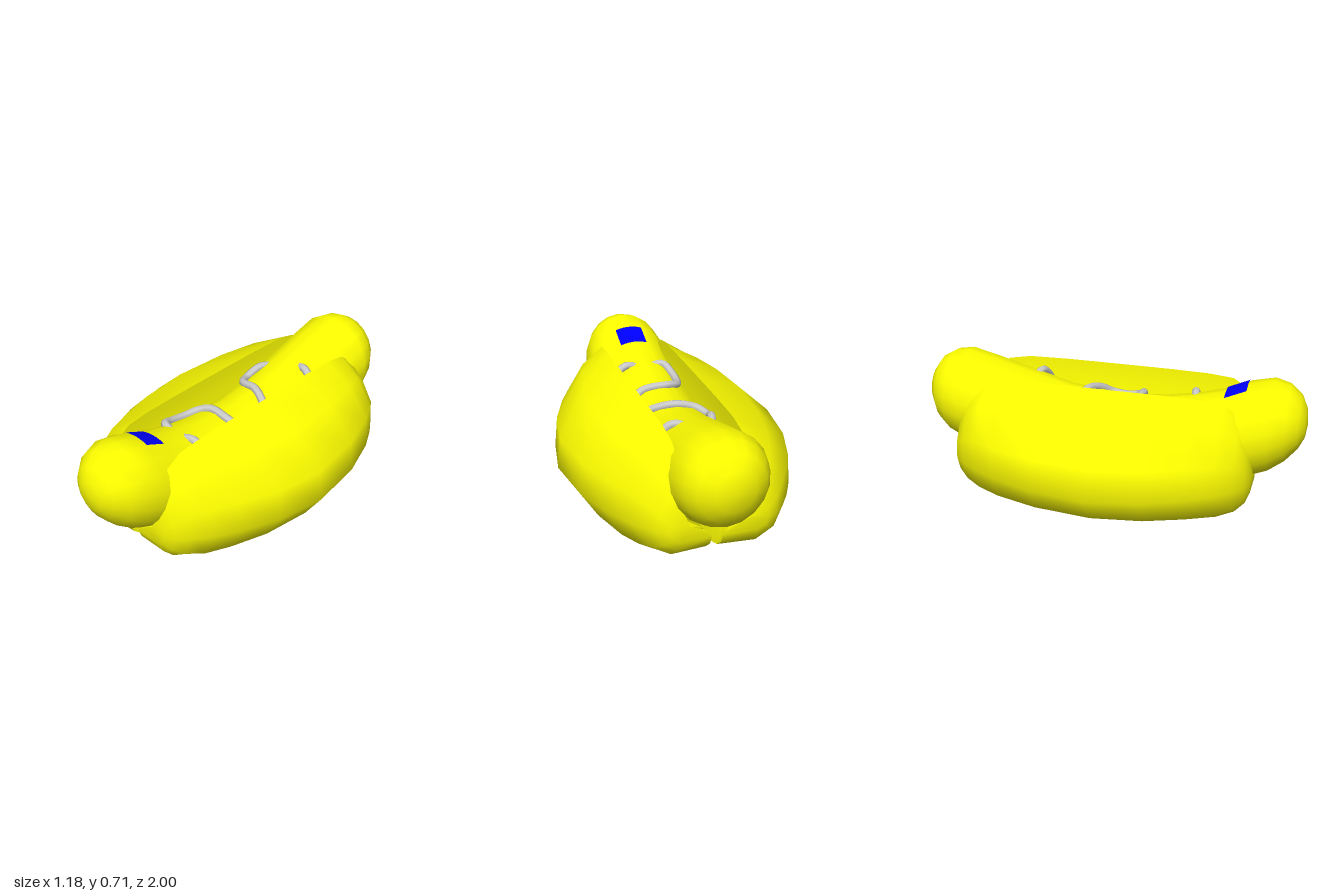
import * as THREE from 'three';
import { mergeVertices, toCreasedNormals } from 'three/addons/utils/BufferGeometryUtils.js';

const yellow = new THREE.MeshStandardMaterial({ color: 0xffff00 });
const grey = new THREE.MeshStandardMaterial({ color: 0xcccccc });
const blue = new THREE.MeshStandardMaterial({ color: 0x0000ff, side: THREE.DoubleSide });

// Skin a list of rings (counter-clockwise seen from +z, ordered back to front) and close both ends
function loft(rings, backTip, frontTip) {
  const n = rings[0].length;
  const positions = [...rings.flat(), backTip, frontTip].flat();
  const back = rings.length * n;
  const last = back - n;
  const index = [];
  for (let j = 0; j < n; j++) {
    const k = (j + 1) % n;
    for (let i = 0; i < rings.length - 1; i++) {
      const a = i * n + j, b = i * n + k;
      index.push(a, b, b + n, a, b + n, a + n);
    }
    index.push(back, k, j, back + 1, last + j, last + k);
  }
  const geometry = new THREE.BufferGeometry();
  geometry.setAttribute('position', new THREE.Float32BufferAttribute(positions, 3));
  geometry.setIndex(index);
  return geometry;
}

// Sausage stations: z, top, bottom, half width
const stations = [
  [-0.985, 0.60, 0.39, 0.10], [-0.94, 0.665, 0.31, 0.17], [-0.88, 0.70, 0.255, 0.21],
  [-0.8, 0.712, 0.22, 0.237], [-0.65, 0.675, 0.185, 0.237], [-0.47, 0.625, 0.14, 0.235],
  [-0.25, 0.565, 0.08, 0.235], [0, 0.535, 0.05, 0.235], [0.25, 0.55, 0.065, 0.235],
  [0.42, 0.58, 0.10, 0.235], [0.58, 0.625, 0.145, 0.235], [0.7, 0.68, 0.18, 0.237],
  [0.82, 0.71, 0.23, 0.222], [0.9, 0.69, 0.29, 0.185], [0.96, 0.64, 0.36, 0.13],
  [0.99, 0.575, 0.42, 0.075],
];

// Height of the sausage's upper surface at x, z
function surfaceY(x, z) {
  let i = 0;
  while (i < stations.length - 2 && stations[i + 1][0] < z) i++;
  const a = stations[i], b = stations[i + 1];
  const t = (z - a[0]) / (b[0] - a[0]);
  const [, top, bottom, rx] = a.map((v, k) => v + (b[k] - v) * t);
  return (top + bottom) / 2 + ((top - bottom) / 2) * Math.sqrt(Math.max(0, 1 - (x / rx) ** 2));
}

function sausage() {
  const sides = 18;
  const rings = stations.map(([z, top, bottom, rx]) =>
    Array.from({ length: sides }, (_, j) => {
      const a = (j / sides) * Math.PI * 2 + Math.PI / 2;
      return [rx * Math.cos(a), (top + bottom) / 2 + ((top - bottom) / 2) * Math.sin(a), z];
    }));
  const geometry = loft(rings, [0, 0.495, -1], [0, 0.495, 1]);
  geometry.computeVertexNormals();
  return geometry;
}

// Bun cross-section: outer side from the slit upwards, then the inner wall back down
const bunSection = [
  [0.028, 0.017], [0.275, 0.003], [0.49, 0.077], [0.59, 0.22], [0.572, 0.385], [0.405, 0.54],
  [0.177, 0.637], [0.166, 0.32], [0.07, 0.2],
];
// Bun stations: z, outer half width, top, bottom
const bunStations = [
  [-0.798, 0.25, 0.33, 0.16], [-0.775, 0.30, 0.44, 0.105], [-0.72, 0.355, 0.55, 0.055],
  [-0.64, 0.41, 0.61, 0.025], [-0.52, 0.475, 0.632, 0.012], [-0.3, 0.55, 0.637, 0.005],
  [0, 0.59, 0.637, 0.003], [0.26, 0.545, 0.637, 0.005], [0.46, 0.465, 0.634, 0.012],
  [0.59, 0.40, 0.622, 0.025], [0.68, 0.335, 0.565, 0.06], [0.73, 0.28, 0.46, 0.11],
  [0.752, 0.235, 0.35, 0.165],
];

function bunHalf(side) {
  const inner = 0.17;
  const shift = 0.012; // the slit sits slightly off centre
  const rings = bunStations.map(([z, width, top, bottom]) => {
    const ring = bunSection.map(([x, y]) => {
      const sx = x > inner ? inner + ((x - inner) * (width - inner)) / (0.59 - inner) : x;
      const sy = bottom + ((y - 0.003) / 0.634) * (top - bottom);
      return [side * sx + (x < 0.2 ? shift : 0), sy, z];
    });
    return side > 0 ? ring : ring.reverse();
  });
  const geometry = loft(rings, [side * 0.15, 0.24, -0.803], [side * 0.15, 0.25, 0.757]);
  return toCreasedNormals(geometry, 1.0);
}

// Sauce stroke following the sausage, with both ends sinking below the surface
function sauceStroke(points) {
  const path = points.map(([x, z], i) => {
    const end = i === 0 || i === points.length - 1;
    return new THREE.Vector3(x, surfaceY(x, z) + (end ? -0.03 : 0.008), z);
  });
  const curve = new THREE.CatmullRomCurve3(path, false, 'centripetal');
  return new THREE.TubeGeometry(curve, points.length * 4, 0.022, 7);
}

const strokes = [
  [[-0.105, -0.39], [-0.125, -0.33], [-0.142, -0.24], [-0.1, -0.17], [0, -0.145], [0.1, -0.1],
    [0.155, -0.05], [0.165, 0.03], [0.15, 0.1], [0.09, 0.135], [-0.05, 0.135], [-0.11, 0.17],
    [-0.135, 0.23], [-0.135, 0.34], [-0.11, 0.4], [-0.04, 0.415]],
  [[0.05, -0.445], [0.11, -0.425], [0.17, -0.41], [0.21, -0.4]],
  [[0.03, 0.42], [0.1, 0.41], [0.17, 0.4], [0.21, 0.4]],
];

export function createModel() {
  const group = new THREE.Group();
  const add = (name, geometry, material) => {
    const mesh = new THREE.Mesh(geometry, material);
    mesh.name = name;
    group.add(mesh);
  };

  add('sausage', sausage(), yellow);
  add('leftBunHalf', bunHalf(1), yellow);
  add('rightBunHalf', bunHalf(-1), yellow);
  strokes.forEach((points, i) => add(`sauceStroke${i + 1}`, sauceStroke(points), grey));

  // Small patch draped over the front of the sausage
  const patch = new THREE.PlaneGeometry(0.15, 0.11, 6, 3).rotateX(-Math.PI / 2);
  const p = patch.attributes.position;
  for (let i = 0; i < p.count; i++) {
    const x = p.getX(i), z = p.getZ(i) + 0.637;
    p.setXYZ(i, x, surfaceY(x, z) + 0.006, z);
  }
  patch.computeVertexNormals();
  add('patch', mergeVertices(patch), blue);

  return group;
}
